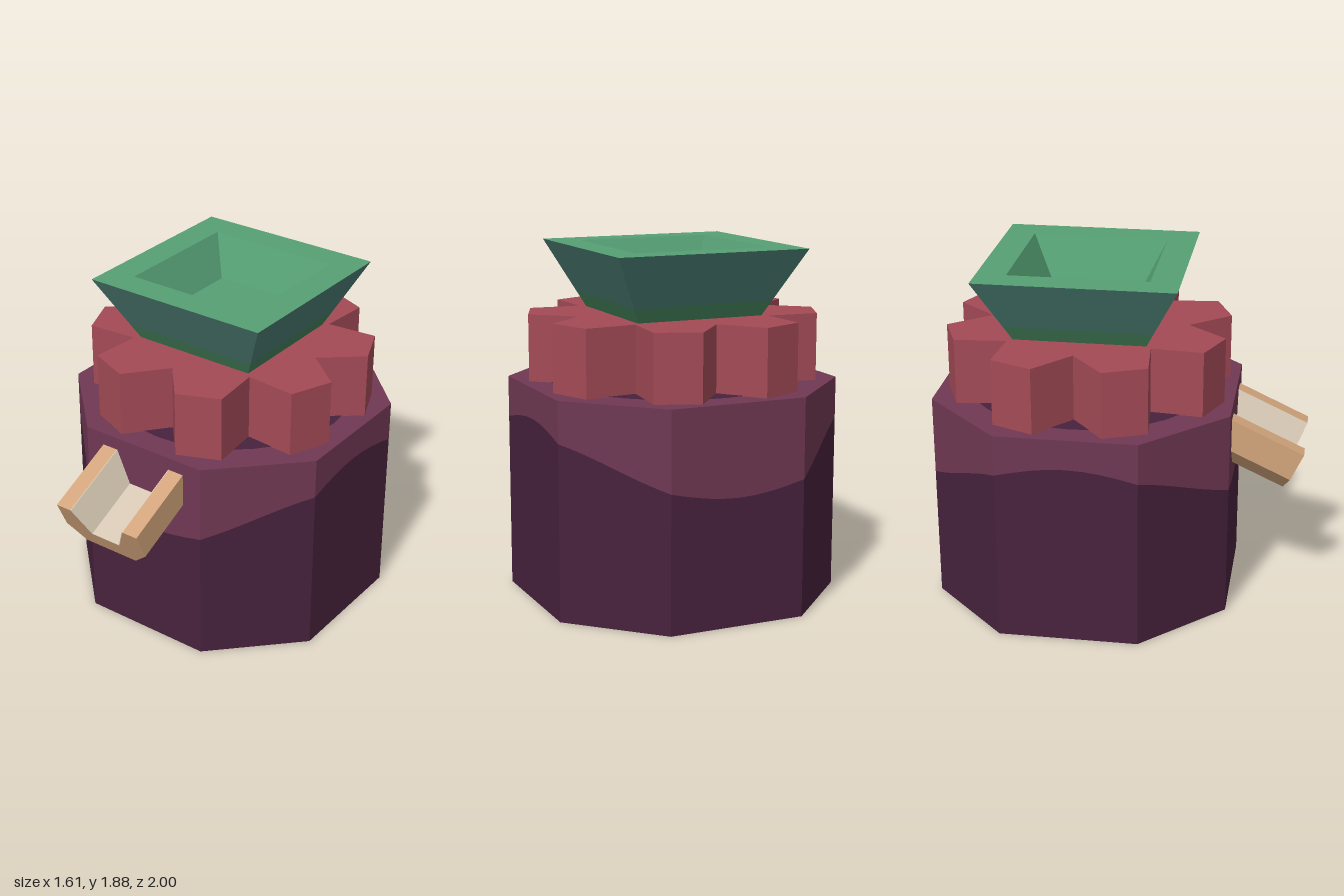
import * as THREE from 'three';

const mat = (name, color, extra = {}) => {
  const m = new THREE.MeshStandardMaterial({ color, ...extra });
  m.name = name;
  return m;
};

export function createModel() {
  const model = new THREE.Group();
  model.name = 'model';
  const plum = mat('plum', 0x6f3853);
  const darkPlum = mat('dark plum', 0x47223d);
  const red = mat('red', 0xa34a56);
  const green = mat('green', 0x559f74);
  const teal = mat('teal', 0x4a7b71);
  const leaf = mat('leaf green', 0x438159);
  const tan = mat('tan', 0xd2a47c);
  const cream = mat('cream', 0xd6c7b3);

  const core = new THREE.Group();
  core.name = 'core';
  core.position.z = -0.195;
  model.add(core);

  const add = (parent, name, geometry, material) => {
    const mesh = new THREE.Mesh(geometry, material);
    mesh.name = name;
    parent.add(mesh);
    return mesh;
  };
  const flat = (geometry) => {
    const g = geometry.index ? geometry.toNonIndexed() : geometry;
    g.computeVertexNormals();
    return g;
  };
  const polygon = (pts) => new THREE.Shape(pts.map(([x, y]) => new THREE.Vector2(x, y)));

  // Body: chamfered square column, split by a wavy colour line
  const H = 1.165, A = 0.805, B = 0.375;
  const corners = [[-B, A], [B, A], [A, B], [A, -B], [B, -A], [-B, -A], [-A, -B], [-A, B]];
  const ring = [];
  const steps = 8;
  corners.forEach(([x, z], i) => {
    const [nx, nz] = corners[(i + 1) % 8];
    for (let k = 0; k < steps; k++) {
      const t = k / steps;
      ring.push([x + (nx - x) * t, z + (nz - z) * t]);
    }
  });
  const wave = ([x, z]) => 0.68 + 0.32 * x * x / (x * x + z * z);
  const band = (low, high) => {
    const pos = [];
    ring.forEach((a, i) => {
      const b = ring[(i + 1) % ring.length];
      const al = [a[0], low(a), a[1]], ah = [a[0], high(a), a[1]];
      const bl = [b[0], low(b), b[1]], bh = [b[0], high(b), b[1]];
      pos.push(...al, ...bl, ...bh, ...al, ...bh, ...ah);
    });
    const g = new THREE.BufferGeometry();
    g.setAttribute('position', new THREE.Float32BufferAttribute(pos, 3));
    return flat(g);
  };
  add(core, 'lowerBody', band(() => 0, wave), darkPlum);
  add(core, 'upperBody', band(wave, () => H), plum);

  // Body caps with a dark round inlay on each
  for (const top of [true, false]) {
    const turn = top ? -Math.PI / 2 : Math.PI / 2;
    const cap = new THREE.ShapeGeometry(polygon(corners)).rotateX(turn);
    add(core, top ? 'bodyTop' : 'bodyBase', cap, plum).position.y = top ? H : 0.003;
    const disc = new THREE.CircleGeometry(0.67, 32).rotateX(turn);
    add(core, top ? 'topInlay' : 'baseInlay', disc, darkPlum).position.y = top ? H + 0.003 : 0;
  }

  // Eight-toothed gear collar
  const teeth = [];
  for (let i = 0; i < 8; i++) {
    for (const [deg, r] of [[0, 0.54], [13.4, 0.776], [31.6, 0.776]]) {
      const a = THREE.MathUtils.degToRad(i * 45 + deg);
      teeth.push([r * Math.cos(a), r * Math.sin(a)]);
    }
  }
  const gear = new THREE.ExtrudeGeometry(polygon(teeth), { depth: 0.36, bevelEnabled: false });
  add(core, 'gearCollar', gear.rotateX(-Math.PI / 2), red).position.y = H;

  // Square hopper: four-sided lathe from half-widths and heights
  const square = (profile) => flat(new THREE.LatheGeometry(
    profile.map(([half, y]) => new THREE.Vector2(half * Math.SQRT2, y)), 4, Math.PI / 4));
  add(core, 'hopperFoot', square([[0.355, 1.525], [0.395, 1.605]]), leaf);
  add(core, 'hopperSides', square([[0.395, 1.605], [0.535, 1.885]]), teal);
  add(core, 'hopperRimAndInside',
    square([[0.535, 1.885], [0.375, 1.885], [0.265, 1.67], [0, 1.67]]), green);

  // Spout: tilted open channel with a thin pale lining
  const spout = new THREE.Group();
  spout.name = 'spout';
  spout.position.set(0, 0.915, 1);
  spout.rotation.x = THREE.MathUtils.degToRad(24.8);
  model.add(spout);
  const mirrored = (half) => polygon([...half, ...half.slice().reverse().map(([x, y]) => [-x, y])]);
  const channel = (half) => new THREE.ExtrudeGeometry(mirrored(half), { depth: 0.5, bevelEnabled: false })
    .translate(0, 0, -0.5);
  add(spout, 'spoutChannel', channel(
    [[0.094, -0.169], [0.174, 0], [0.265, 0], [0.265, -0.165], [0.165, -0.264]]), tan);
  add(spout, 'spoutLining', channel(
    [[0.09, -0.165], [0.17, 0], [0.174, 0], [0.094, -0.169]]), cream);

  return model;
}
